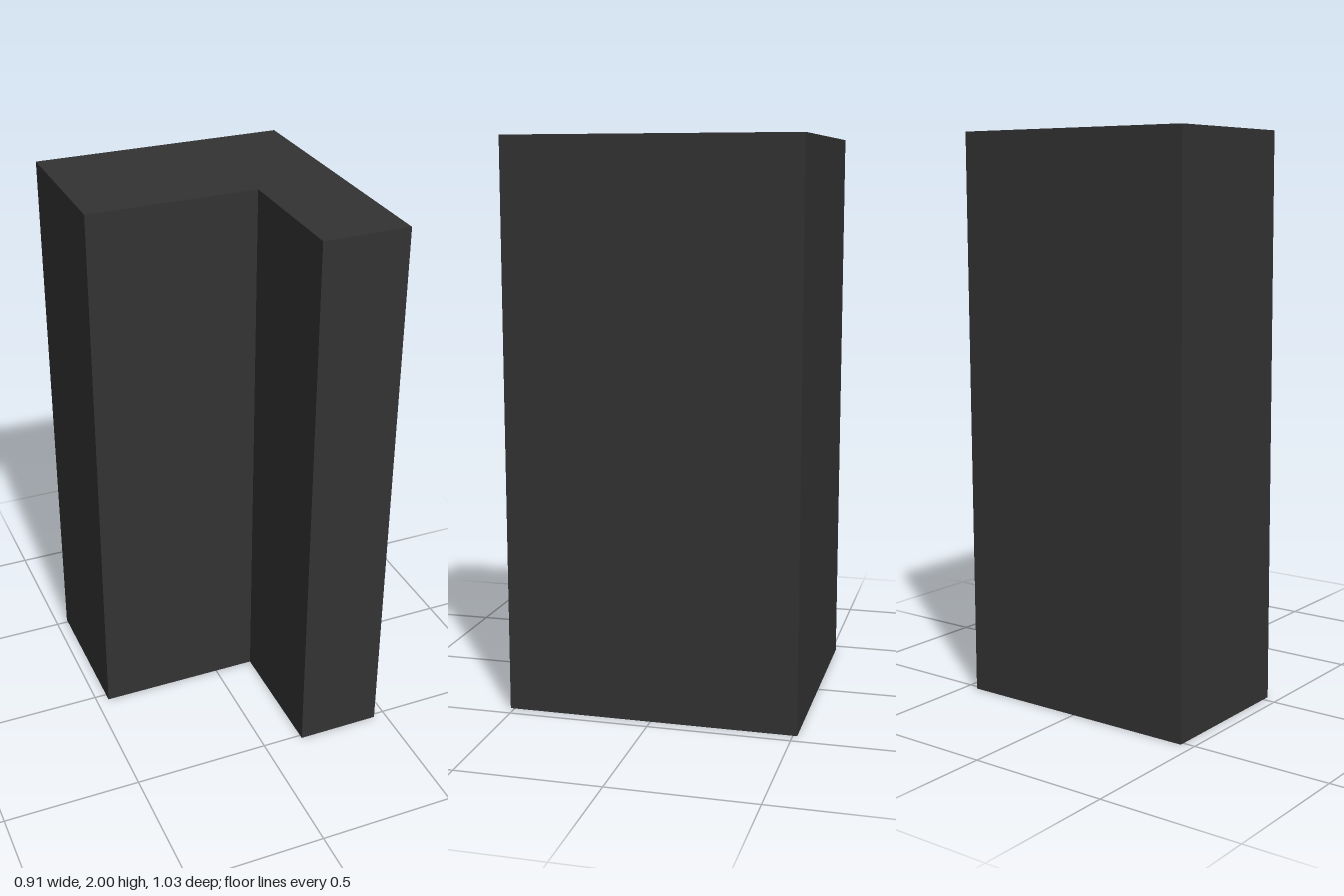
import * as THREE from 'three';

export function createModel() {
  const group = new THREE.Group();
  group.name = 'lShapedBlock';

  // L-shaped floor plan as [x, z] corners
  const plan = [
    [-0.455, -0.515], [0.455, -0.515], [0.455, 0.515],
    [0.148, 0.515], [0.148, 0.03], [-0.455, 0.03],
  ];
  const shape = new THREE.Shape(plan.map(([x, z]) => new THREE.Vector2(x, -z)));

  // Plan raised to full height
  const geometry = new THREE.ExtrudeGeometry(shape, { depth: 2, bevelEnabled: false });
  geometry.rotateX(-Math.PI / 2);

  const block = new THREE.Mesh(geometry, new THREE.MeshStandardMaterial({ color: 0x333333 }));
  block.name = 'block';
  group.add(block);
  return group;
}
